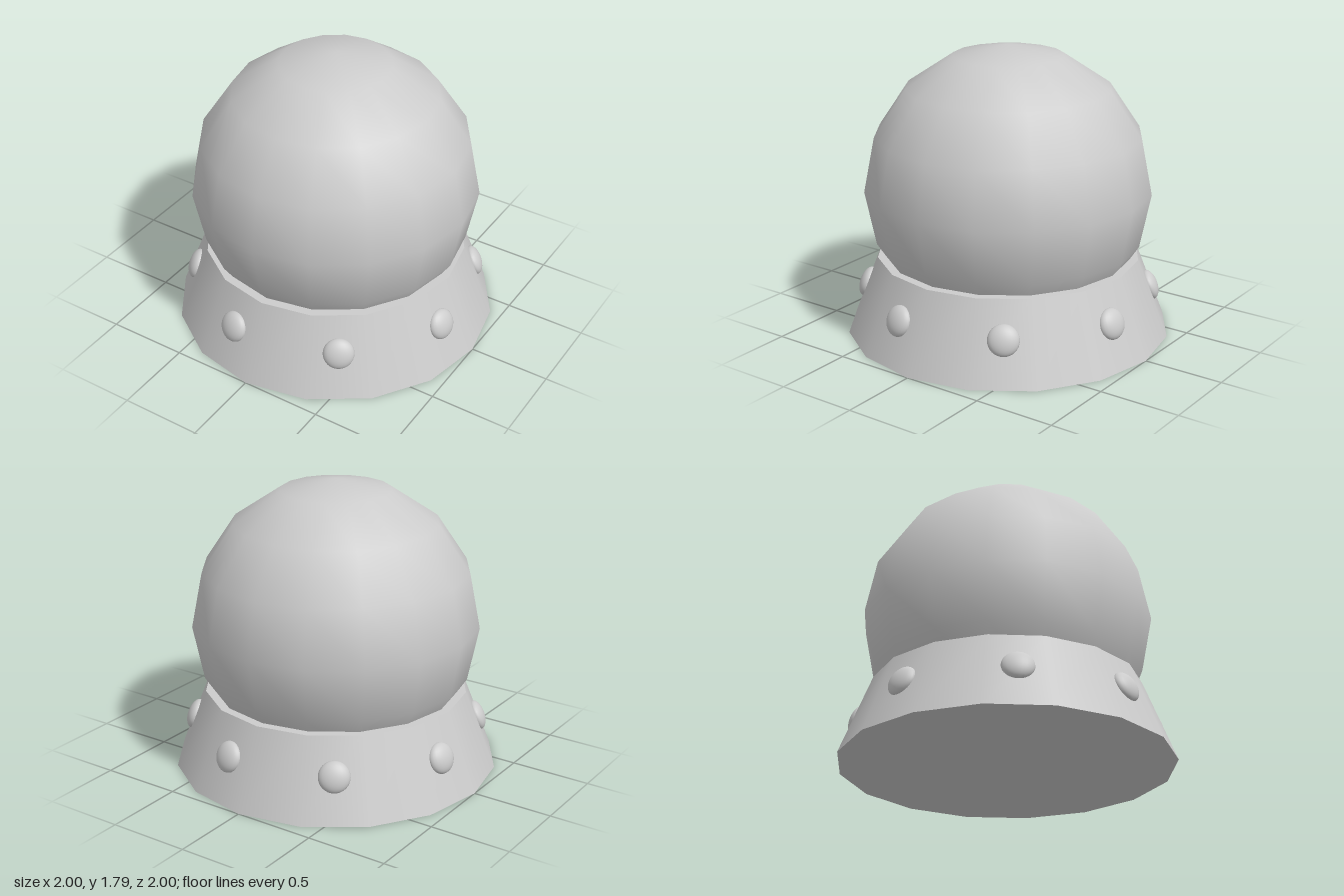
import * as THREE from 'three';

const BASE_HEIGHT = 0.485, BOTTOM_R = 1, TOP_R = 0.81;
const SIDES = 16, STUDS = 8, STUD_Y = 0.265;

export function createModel() {
  const model = new THREE.Group();
  model.name = 'domeOnBase';
  const material = new THREE.MeshStandardMaterial({ color: 0xcccccc });

  const add = (name, geometry) => {
    const mesh = new THREE.Mesh(geometry, material);
    mesh.name = name;
    model.add(mesh);
    return mesh;
  };

  // Tapered base, closed at both ends
  add('base', new THREE.CylinderGeometry(TOP_R, BOTTOM_R, BASE_HEIGHT, SIDES))
    .position.y = BASE_HEIGHT / 2;

  // Globe sunk into the base
  add('globe', new THREE.SphereGeometry(0.88, SIDES, SIDES / 2)).position.y = 0.907;

  // Flattened studs, one on the middle of every second base facet
  const studGeometry = new THREE.SphereGeometry(1, 24, 16).scale(0.094, 0.094, 0.05);
  const apothem = Math.cos(Math.PI / SIDES);
  const radius = THREE.MathUtils.lerp(BOTTOM_R, TOP_R, STUD_Y / BASE_HEIGHT) * apothem;
  const slope = Math.atan2((BOTTOM_R - TOP_R) * apothem, BASE_HEIGHT);
  for (let i = 0; i < STUDS; i++) {
    const angle = (i / STUDS) * Math.PI * 2 - Math.PI / SIDES;
    const stud = add(`stud${i + 1}`, studGeometry);
    stud.position.set(Math.sin(angle) * radius, STUD_Y, Math.cos(angle) * radius);
    stud.rotation.set(-slope, angle, 0, 'YXZ');
  }

  return model;
}
